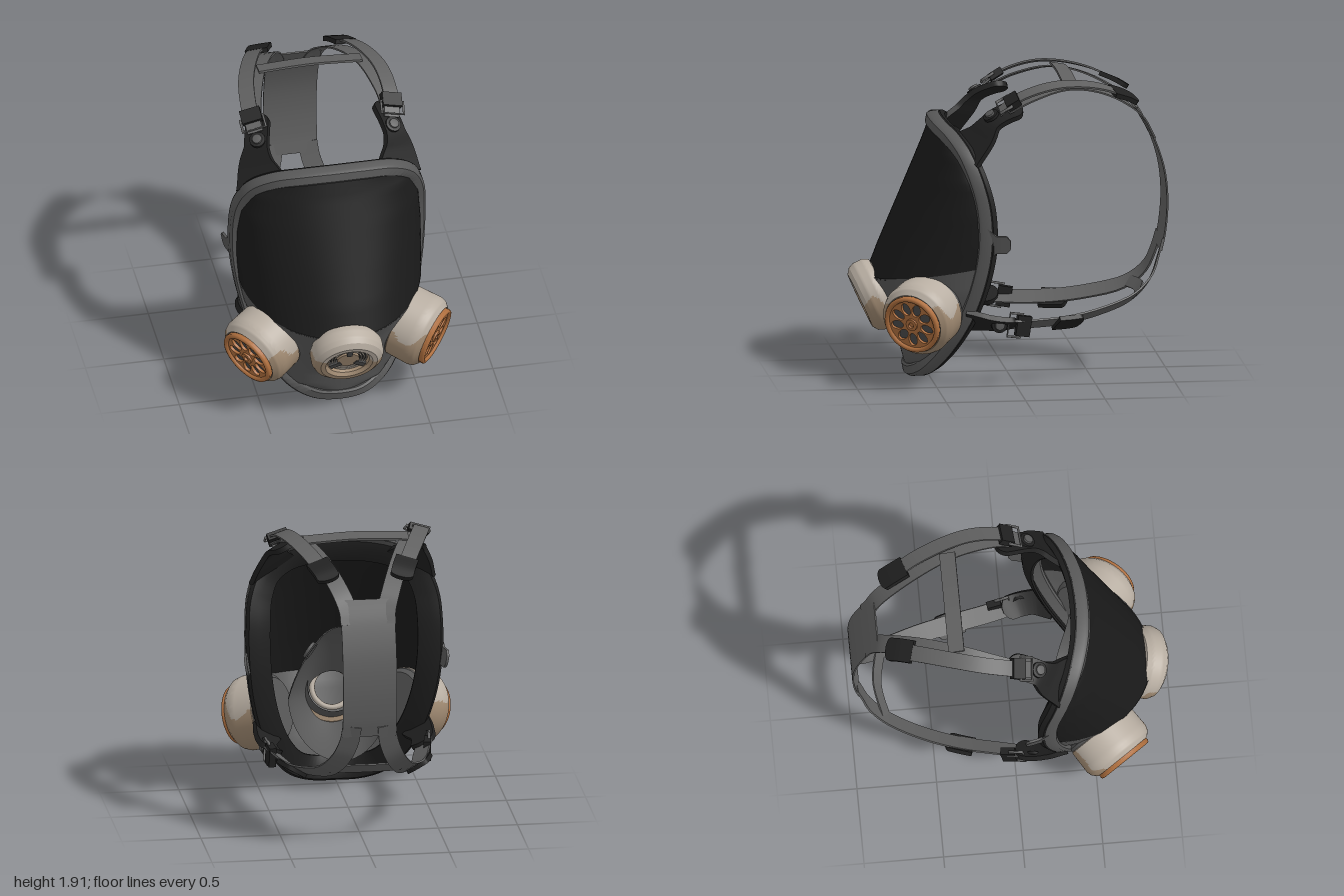
import * as THREE from 'three';
import { toCreasedNormals } from 'three/addons/utils/BufferGeometryUtils.js';

const V = (x, y, z) => new THREE.Vector3(x, y, z);
const UP = V(0, 1, 0);
const HEAD = V(0, 1.05, -0.2);

function material(name, color) {
  const m = new THREE.MeshStandardMaterial({ color, side: THREE.DoubleSide });
  m.name = name;
  return m;
}

// Grid surface from a rule (i, j) -> point
function grid(nu, nv, fn, crease = 0.7) {
  const pos = [], idx = [];
  for (let i = 0; i <= nu; i++) for (let j = 0; j <= nv; j++) pos.push(...fn(i, j).toArray());
  for (let i = 0; i < nu; i++) for (let j = 0; j < nv; j++) {
    const a = i * (nv + 1) + j, b = a + nv + 1;
    idx.push(a, b, a + 1, b, b + 1, a + 1);
  }
  const g = new THREE.BufferGeometry();
  g.setAttribute('position', new THREE.Float32BufferAttribute(pos, 3));
  g.setIndex(idx);
  g.computeVertexNormals();
  return toCreasedNormals(g, crease);
}

// Flat band along a path, facing away from the head centre
function ribbon(points, widthAt, thick = 0.02, centre = HEAD) {
  const curve = new THREE.CatmullRomCurve3(points.map(p => V(...p)));
  const N = 28;
  return grid(N + 2, 4, (i, j) => {
    const t = Math.min(Math.max(i - 1, 0), N) / N;
    const p = curve.getPoint(t), T = curve.getTangent(t);
    if (i === 0 || i === N + 2) return p;
    const out = p.clone().sub(centre), n = out.clone().addScaledVector(T, -out.dot(T)).normalize();
    const s = T.clone().cross(n), w = widthAt(t) / 2;
    const [a, b] = [[-1, -1], [1, -1], [1, 1], [-1, 1], [-1, -1]][j];
    return p.addScaledVector(s, a * w).addScaledVector(n, b * thick / 2);
  });
}

// Shell rows: [side x, side y, side z, centre y, centre z]
function shell(rows, sub = 5) {
  const at = i => {
    const k = Math.min(Math.floor(i / sub), rows.length - 2), f = i / sub - k;
    return rows[k].map((v, n) => v + (rows[k + 1][n] - v) * f);
  };
  return grid((rows.length - 1) * sub, 40, (i, j) => {
    const [x, y, z, cy, cz] = at(i), a = j / 40 * Math.PI, s = Math.sin(a);
    return V(x * Math.cos(a), y + (cy - y) * s, z + (cz - z) * s);
  }, 0.8);
}

// Sweep of a section [outward, forward] around the face outline
const half = [[0.15, 0.045, 0.6], [0.28, 0.1, 0.54], [0.39, 0.22, 0.45], [0.49, 0.42, 0.34], [0.555, 0.65, 0.26],
  [0.59, 0.9, 0.215], [0.595, 1.15, 0.225], [0.575, 1.34, 0.275], [0.51, 1.48, 0.335], [0.38, 1.57, 0.4], [0.2, 1.61, 0.45]];
const outline = new THREE.CatmullRomCurve3([V(0, 0.035, 0.62), ...half.map(p => V(...p)), V(0, 1.62, 0.465),
  ...half.slice().reverse().map(([x, y, z]) => V(-x, y, z))], true);
function sweep(section) {
  const N = 120, m = section.length;
  return grid(N, m, (i, j) => {
    const t = (i % N) / N, p = outline.getPoint(t), T = outline.getTangent(t);
    const l = Math.hypot(T.x, T.y), [o, f] = section[j % m];
    return V(p.x + T.y / l * o, p.y - T.x / l * o, p.z + f);
  });
}

// Nose cup: loft from the valve ring (t = 0) to the face opening (t = 1)
function cupPoint(t, a) {
  const c = Math.cos(a), s = Math.sin(a), k = Math.sin(t * Math.PI / 2);
  const x = 0.32 * c * (s > 0 ? 1 - 0.35 * s : 1), y = 0.6 + (s > 0 ? 0.46 : 0.38) * s, z = 0.4 - (s > 0 ? 0 : 0.12) * s * s;
  return V(0.14 * c + (x - 0.14 * c) * k, 0.52 + 0.14 * s + (y - 0.52 - 0.14 * s) * k, 0.76 + (z - 0.76) * t);
}

// Two-colour geometry: triangles whose centre passes the rule get the second material
function paint(geo, rule) {
  const g = geo.index ? geo.toNonIndexed() : geo, p = g.attributes.position, lists = [[], []];
  for (let i = 0; i < p.count; i += 3) {
    const c = V(0, 0, 0);
    for (let k = 0; k < 3; k++) c.add(V(p.getX(i + k), p.getY(i + k), p.getZ(i + k)));
    lists[rule(c.divideScalar(3)) ? 1 : 0].push(i, i + 1, i + 2);
  }
  g.setIndex([...lists[0], ...lists[1]]);
  g.addGroup(0, lists[0].length, 0);
  g.addGroup(lists[0].length, lists[1].length, 1);
  return g;
}

const lathe = (pts, seg = 48) =>
  toCreasedNormals(new THREE.LatheGeometry(pts.map(p => new THREE.Vector2(...p)), seg), 0.5);

// Lathe body with extra rings, so that the worn colour edge can wander
function wornBody(pts, pos, dir, level) {
  const fine = [];
  pts.forEach((p, i) => {
    const q = pts[i + 1];
    for (let k = 0; k < (q ? 5 : 1); k++) fine.push(q ? [p[0] + (q[0] - p[0]) * k / 5, p[1] + (q[1] - p[1]) * k / 5] : p);
  });
  const g = lathe(fine, 96);
  g.applyQuaternion(new THREE.Quaternion().setFromUnitVectors(UP, dir)).translate(pos.x, pos.y, pos.z);
  return paint(g, c => c.y < level + 0.035 * Math.sin(c.x * 27) + 0.03 * Math.sin(c.z * 37 + 1));
}

function place(obj, pos, dir) {
  obj.position.copy(pos);
  obj.quaternion.setFromUnitVectors(UP, dir);
  return obj;
}

export function createModel() {
  const model = new THREE.Group();
  const visorMat = material('visor black', 0x1a1a1a), rubber = material('rubber black', 0x202020);
  const grey = material('frame grey', 0x585858), strapMat = material('strap grey', 0x606060);
  const light = material('worn light beige', 0xb8aea2), tan = material('tan', 0xa08a72);
  const orange = material('filter orange', 0xb0703f), dark = material('vent grey', 0x4a4a4a);
  const metal = material('buckle metal', 0x6e6e6e);
  const add = (name, geo, mat, parent = model) => {
    const m = new THREE.Mesh(geo, mat);
    m.name = name;
    parent.add(m);
    return m;
  };

  // Visor, lower face shell, frame and face seal
  add('visor', shell([[0.575, 0.76, 0.25, 0.64, 0.885], [0.585, 0.9, 0.22, 0.82, 0.815], [0.585, 1.1, 0.23, 1.05, 0.715],
    [0.565, 1.3, 0.27, 1.3, 0.605], [0.5, 1.45, 0.33, 1.47, 0.53], [0.39, 1.54, 0.4, 1.57, 0.49]]), visorMat);
  add('lowerShell', shell([[0, 0.03, 0.62, 0.03, 0.63], [0.28, 0.12, 0.53, 0.14, 0.66], [0.39, 0.24, 0.44, 0.25, 0.69],
    [0.49, 0.44, 0.33, 0.42, 0.77], [0.55, 0.62, 0.27, 0.56, 0.835], [0.58, 0.77, 0.24, 0.65, 0.89]]), grey);
  add('frame', sweep([[-0.05, 0.03], [-0.035, 0.04], [0.015, 0.03], [0.028, 0.01], [0.028, -0.045], [-0.05, -0.045]]), grey);
  add('faceSeal', sweep([[0.02, -0.04], [0.028, -0.055], [0.01, -0.085], [-0.05, -0.08], [-0.13, -0.035], [-0.13, -0.02],
    [-0.05, -0.04]]), rubber);

  // Inner nose cup
  add('noseCup', grid(14, 48, (i, j) => cupPoint(i / 14, (j % 48) / 24 * Math.PI), 1), grey);

  // Exhalation valve
  const vPos = V(0, 0.525, 0.815), vDir = V(0, -0.42, 0.91).normalize();
  add('valveHousing', wornBody([[0.17, -0.05], [0.21, -0.04], [0.23, 0], [0.23, 0.06], [0.215, 0.095], [0.18, 0.12], [0.15, 0.12],
    [0.132, 0.1], [0.13, 0.05]], vPos, vDir, 0.52), [light, tan]);
  const valve = place(new THREE.Group(), vPos, vDir);
  valve.name = 'valve';
  model.add(valve);
  add('valveNeck', new THREE.CylinderGeometry(0.19, 0.16, 0.12, 40, 1, true).translate(0, -0.08, 0), grey, valve);
  add('valveBack', new THREE.CylinderGeometry(0.135, 0.135, 0.01, 40).translate(0, 0.055, 0), rubber, valve);
  for (const r of [0.12, 0.102, 0.085])
    add('valveRing', new THREE.TorusGeometry(r, 0.005, 6, 40).rotateX(Math.PI / 2).translate(0, 0.08, 0), light, valve);
  add('valveCentre', new THREE.CylinderGeometry(0.07, 0.07, 0.03, 32).translate(0, 0.075, 0), tan, valve);
  for (let k = 0; k < 3; k++)
    add('valveArm', new THREE.BoxGeometry(0.035, 0.03, 0.075).translate(0, 0.082, 0.09).rotateY(k * Math.PI * 2 / 3 + 1), dark, valve);
  add('valveInnerRing', new THREE.TorusGeometry(0.125, 0.018, 8, 40).rotateX(Math.PI / 2).translate(0, -0.08, 0), light, valve);

  // Perforated filter cover with petal openings
  const cover = new THREE.Shape().absarc(0, 0, 0.188, 0, Math.PI * 2);
  for (let k = 0; k < 9; k++) {
    const a = k / 9 * Math.PI * 2;
    cover.holes.push(new THREE.Path().absellipse(0.105 * Math.cos(a), 0.105 * Math.sin(a), 0.042, 0.029, 0, Math.PI * 2, true, a));
  }
  const coverGeo = new THREE.ExtrudeGeometry(cover, { depth: 0.02, bevelEnabled: false, curveSegments: 20 }).rotateX(-Math.PI / 2);

  for (const s of [1, -1]) {
    const side = s > 0 ? 'left' : 'right';
    const M = pts => pts.map(([x, y, z]) => [x * s, y, z]);

    // Side filter in its socket
    const dir = V(0.78 * s, -0.27, 0.56).normalize();
    const base = V(0.6 * s, 0.43, 0.67).addScaledVector(dir, -0.28);
    add(side + 'FilterBody', wornBody([[0.2, 0.02], [0.232, 0.05], [0.236, 0.2], [0.225, 0.235], [0.195, 0.265],
      [0.185, 0.25]], base, dir, 0.53), [light, tan]);
    const filter = place(new THREE.Group(), base, dir);
    filter.name = side + 'Filter';
    model.add(filter);
    add('filterSocket', lathe([[0, 0], [0.2, 0], [0.225, 0.025], [0.228, 0.05]]), grey, filter);
    add('filterBack', new THREE.CylinderGeometry(0.19, 0.19, 0.01, 40).translate(0, 0.255, 0), dark, filter);
    add('filterCover', coverGeo.clone().translate(0, 0.258, 0), orange, filter);
    add('filterRim', new THREE.TorusGeometry(0.174, 0.016, 8, 48).rotateX(Math.PI / 2).translate(0, 0.28, 0), orange, filter);
    add('filterHub', lathe([[0.04, 0.275], [0.038, 0.29], [0.018, 0.292], [0.015, 0.28], [0, 0.28]], 24), orange, filter);

    // Round valve on the flank of the nose cup
    const ang = s > 0 ? 0.75 : Math.PI - 0.75, spot = cupPoint(0.72, ang);
    const du = cupPoint(0.74, ang).sub(spot), dv = cupPoint(0.72, ang + 0.02).sub(spot);
    add(side + 'CupValve', new THREE.CylinderGeometry(0.055, 0.06, 0.03, 28), grey);
    place(model.children.at(-1), spot, du.cross(dv).normalize());

    // Ear on the frame
    add(side + 'Ear', ribbon(M([[0.595, 0.93, 0.2], [0.618, 0.93, 0.13], [0.635, 0.93, 0.05]]),
      t => 0.24 - 0.28 * Math.min(t, 0.45) - (t > 0.85 ? (t - 0.85) * 0.4 : 0), 0.016), grey);

    // Rubber tabs of the seal
    const round = (w, t) => w * Math.sqrt(Math.max(0.06, 1 - Math.max(0, (t - 0.82) / 0.18) ** 2));
    add(side + 'UpperTab', ribbon(M([[0.44, 1.49, 0.31], [0.45, 1.58, 0.22], [0.435, 1.68, 0.14], [0.41, 1.73, 0.04], [0.39, 1.75, -0.05]]),
      t => round(0.16 + 0.18 * Math.max(0, 1 - t * 2.2), t), 0.035), rubber);
    add(side + 'LowerTab', ribbon(M([[0.47, 0.43, 0.31], [0.495, 0.415, 0.2], [0.49, 0.4, 0.1], [0.46, 0.395, 0]]),
      t => round(0.155 + 0.05 * Math.max(0, 1 - t * 2.5), t), 0.035), rubber);

    // Straps with their keepers, turned flatter towards the top of the head
    const flat = V(0.2 * s, 1.05, -0.2);
    add(side + 'UpperStrap', ribbon(M([[0.435, 1.74, 0.1], [0.45, 1.83, -0.02], [0.435, 1.89, -0.2], [0.395, 1.9, -0.36],
      [0.325, 1.865, -0.56], [0.25, 1.79, -0.73]]), () => 0.1, 0.012, flat), strapMat);
    add(side + 'UpperKeeper', ribbon(M([[0.285, 1.83, -0.63], [0.25, 1.795, -0.72], [0.225, 1.755, -0.79]]),
      t => round(0.145, t), 0.03, flat), rubber);
    add(side + 'UpperLeg', ribbon(M([[0.435, 1.75, 0.05], [0.41, 1.82, -0.1], [0.345, 1.875, -0.33], [0.25, 1.82, -0.58],
      [0.155, 1.67, -0.81], [0.12, 1.57, -0.875], [0.115, 1.5, -0.91]]), t => 0.1 + 0.02 * t, 0.01, flat), strapMat);
    add(side + 'LowerStrap', ribbon(M([[0.11, 0.85, -0.972], [0.125, 0.74, -0.94], [0.17, 0.62, -0.89], [0.24, 0.51, -0.77],
      [0.33, 0.44, -0.56], [0.4, 0.4, -0.33], [0.45, 0.39, -0.1], [0.49, 0.395, 0.06]]), () => 0.12, 0.012), strapMat);
    add(side + 'LowerKeeper', ribbon(M([[0.425, 0.385, -0.26], [0.4, 0.385, -0.34], [0.37, 0.39, -0.43]]),
      t => round(0.155, t), 0.03), rubber);

    // Buckles and studs
    const fittings = [['Upper', V(0.44 * s, 1.775, 0.06), V(0.27 * s, 0.8, 0.5), V(0.43 * s, 1.71, 0.145)],
      ['Lower', V(0.495 * s, 0.395, 0.01), V(0.98 * s, 0, -0.15), V(0.508 * s, 0.4, 0.11)]];
    for (const [level, pos, normal, stud] of fittings) {
      const n = normal.normalize(), buckle = place(new THREE.Group(), pos, n);
      buckle.name = side + level + 'Buckle';
      model.add(buckle);
      add('buckleFrame', new THREE.TorusGeometry(0.1, 0.01, 6, 4).rotateZ(Math.PI / 4).rotateX(Math.PI / 2)
        .scale(1.05, 1, 0.6).translate(0, 0.018, 0), metal, buckle);
      add('buckleBar', new THREE.BoxGeometry(0.13, 0.045, 0.09).translate(0, 0.008, -0.055), rubber, buckle);
      const pin = place(add(side + level + 'Stud', lathe([[0.05, 0], [0.05, 0.02], [0.032, 0.022], [0.03, 0.034], [0, 0.038]], 24),
        [rubber, grey]), stud, n);
      pin.geometry = paint(pin.geometry, c => Math.hypot(c.x, c.z) < 0.032);
    }
  }

  // Back head plate with its cross bars
  add('headPlate', ribbon([[0, 1.64, -0.835], [0, 1.5, -0.91], [0, 1.3, -0.975], [0, 1.1, -0.995], [0, 0.9, -0.98], [0, 0.78, -0.955]],
    () => 0.34, 0.01), strapMat);
  add('topCrossBar', ribbon([[-0.33, 1.89, -0.36], [0, 1.905, -0.36], [0.33, 1.89, -0.36]], () => 0.1, 0.014), strapMat);
  add('lowerCrossBar', ribbon([[-0.23, 0.52, -0.79], [0, 0.53, -0.83], [0.23, 0.52, -0.79]], () => 0.08, 0.01), strapMat);

  return model;
}
